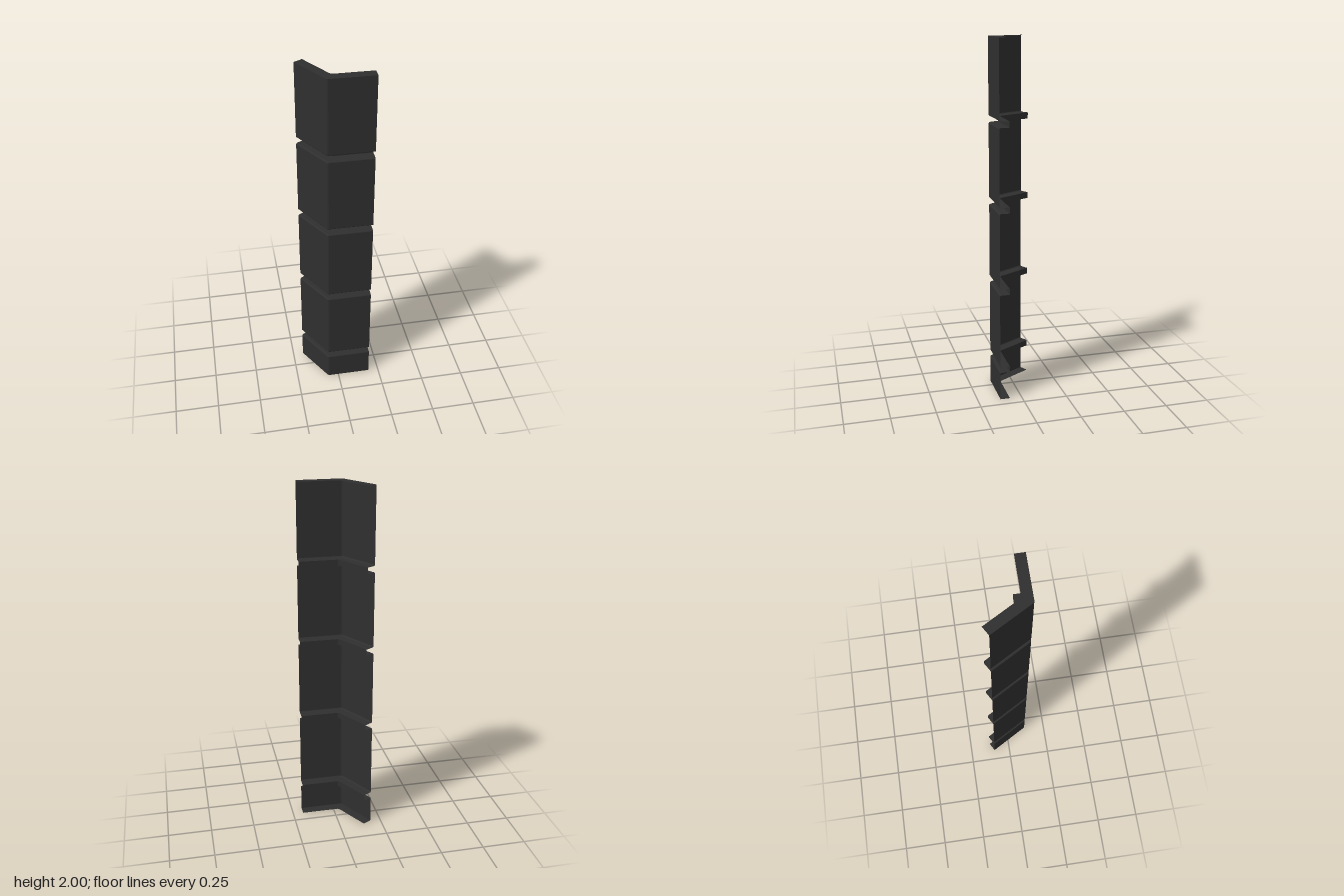
import * as THREE from 'three';

// Plan of the bent sheet, right end to left end: outer face and recessed face
const OUTER = [[0.19, 0.123], [-0.055, 0.123], [-0.061, 0.121], [-0.067, 0.115], [-0.19, -0.098]];
const INNER = [[0.19, 0.068], [-0.024, 0.068], [-0.031, 0.064], [-0.038, 0.058], [-0.144, -0.125]];

const GROOVES = [0.178, 0.638, 1.098, 1.558]; // centre heights
const HALF = 0.017; // half height of a groove
const LIP = 0.006; // softened edge beside a groove

// Sweeps a vertical profile of [depth 0..1, y] points along the bent plan
function sweep(name, profile, material) {
  const point = ([depth, y], i) => [
    THREE.MathUtils.lerp(OUTER[i][0], INNER[i][0], depth), y,
    THREE.MathUtils.lerp(OUTER[i][1], INNER[i][1], depth),
  ];
  const positions = [];
  for (let j = 0; j < profile.length - 1; j++) {
    for (let i = 0; i < OUTER.length - 1; i++) {
      const a = point(profile[j], i), b = point(profile[j], i + 1);
      const c = point(profile[j + 1], i + 1), d = point(profile[j + 1], i);
      positions.push(...a, ...d, ...c, ...a, ...c, ...b);
    }
  }
  const geometry = new THREE.BufferGeometry();
  geometry.setAttribute('position', new THREE.Float32BufferAttribute(positions, 3));
  geometry.computeVertexNormals();
  const mesh = new THREE.Mesh(geometry, material);
  mesh.name = name;
  return mesh;
}

export function createModel() {
  const group = new THREE.Group();
  group.name = 'cornerPanel';
  const charcoal = new THREE.MeshStandardMaterial({ color: 0x2f2f2f, side: THREE.DoubleSide, flatShading: true });
  charcoal.name = 'charcoal';

  // Flanges folded inward at both ends
  group.add(sweep('bottomFlange', [[1, 0], [0, 0]], charcoal));
  group.add(sweep('topFlange', [[0, 2], [1, 2]], charcoal));

  // Recessed channels, with a softened lip where they meet the panels
  for (const y of GROOVES) {
    group.add(sweep('grooveChannel', [
      [0, y - HALF - LIP], [0.04, y - HALF - LIP * 0.4], [0.12, y - HALF], [1, y - HALF],
      [1, y + HALF], [0.12, y + HALF], [0.04, y + HALF + LIP * 0.4], [0, y + HALF + LIP],
    ], charcoal));
  }

  // Flat panels between the channels
  const starts = [0, ...GROOVES.map((y) => y + HALF + LIP)];
  const ends = [...GROOVES.map((y) => y - HALF - LIP), 2];
  starts.forEach((start, k) => group.add(sweep('panel', [[0, start], [0, ends[k]]], charcoal)));

  return group;
}
